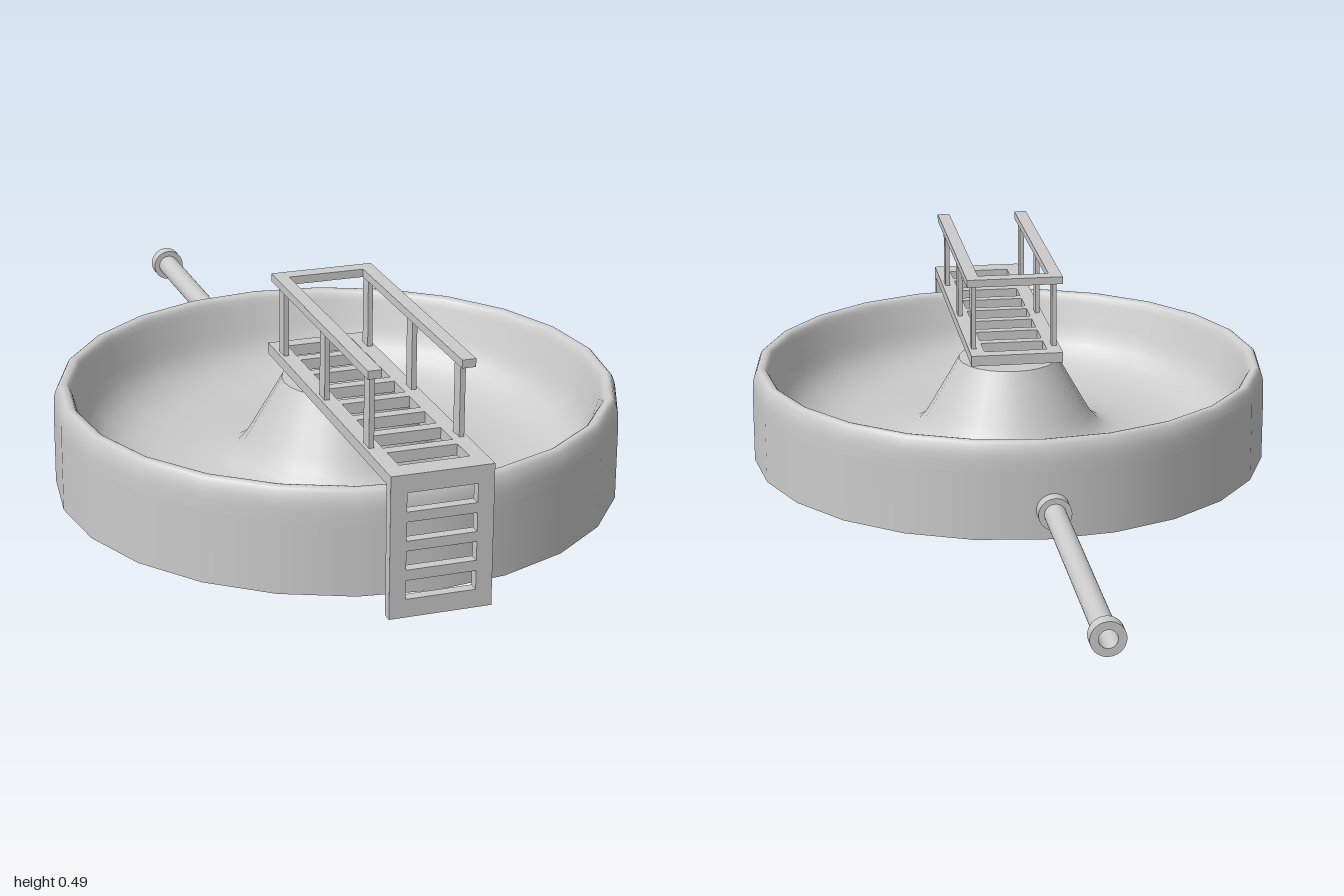
import * as THREE from 'three';

const mat = new THREE.MeshStandardMaterial({ color: 0xcccccc, side: THREE.DoubleSide });
const V = (x, y) => new THREE.Vector2(x, y);

function add(parent, name, geometry, x = 0, y = 0, z = 0) {
  const mesh = new THREE.Mesh(geometry, mat);
  mesh.name = name;
  mesh.position.set(x, y, z);
  parent.add(mesh);
  return mesh;
}

function rect(target, x0, x1, y0, y1) {
  target.moveTo(x0, y0);
  target.lineTo(x1, y0);
  target.lineTo(x1, y1);
  target.lineTo(x0, y1);
  target.closePath();
  return target;
}

// Flat plate with a row of rectangular openings, extruded along +z
function slottedPlate(y0, y1, slots, depth) {
  const shape = rect(new THREE.Shape(), -0.11, 0.11, y0, y1);
  for (const [a, b] of slots) shape.holes.push(rect(new THREE.Path(), -0.075, 0.075, a, b));
  return new THREE.ExtrudeGeometry(shape, { depth, bevelEnabled: false });
}

function buildTank() {
  const tank = new THREE.Group();
  tank.name = 'tank';
  tank.position.z = 0.34;
  const sides = 24;

  // Upright outer wall, open underneath
  add(tank, 'outerWall', new THREE.LatheGeometry([V(0.62, 0.03), V(0.62, 0.19)], sides));

  // Rounded rim running down into the dished floor and up the centre cone
  const profile = new THREE.SplineCurve([
    V(0.62, 0.19), V(0.618, 0.23), V(0.608, 0.257), V(0.595, 0.26), V(0.583, 0.25),
    V(0.568, 0.205), V(0.54, 0.135), V(0.48, 0.088), V(0.39, 0.07), V(0.29, 0.073),
    V(0.22, 0.098), V(0.17, 0.175), V(0.12, 0.264),
  ]);
  add(tank, 'basin', new THREE.LatheGeometry(profile.getPoints(36), sides));

  // Flat top of the centre cone
  const cap = add(tank, 'coneCap', new THREE.CircleGeometry(0.12, sides), 0, 0.264);
  cap.rotation.x = -Math.PI / 2;
  return tank;
}

function buildWalkway() {
  const walkway = new THREE.Group();
  walkway.name = 'walkway';
  walkway.position.x = -0.005;

  // Grating deck, drawn with y as z and laid flat
  const deckSlots = [];
  for (let i = 0; i < 8; i++) deckSlots.push([0.243 + i * 0.0915, 0.309 + i * 0.0915]);
  const deck = add(walkway, 'deck', slottedPlate(0.21, 1.0, deckSlots, 0.025), 0, 0.31);
  deck.rotation.x = Math.PI / 2;

  // Ladder plate down to the ground
  const rungSlots = [[0.04, 0.081], [0.104, 0.145], [0.167, 0.208], [0.23, 0.271]];
  add(walkway, 'ladder', slottedPlate(0, 0.286, rungSlots, 0.023), 0, 0, 0.977);

  // Handrails and posts
  for (const side of [-1, 1]) {
    add(walkway, 'handrail', new THREE.BoxGeometry(0.03, 0.018, 0.625), side * 0.1, 0.477, 0.5625);
    for (const z of [0.285, 0.56, 0.835]) {
      add(walkway, 'railPost', new THREE.BoxGeometry(0.011, 0.162, 0.033), side * 0.097, 0.389, z);
    }
  }
  add(walkway, 'endRail', new THREE.BoxGeometry(0.17, 0.018, 0.035), 0, 0.477, 0.2675);
  return walkway;
}

// Hollow tube with square ends; the lathe axis is turned to lie along z
function tube(outer, inner, length) {
  const shape = new THREE.Shape().absarc(0, 0, outer, 0, Math.PI * 2);
  shape.holes.push(new THREE.Path().absarc(0, 0, inner, 0, Math.PI * 2, true));
  return new THREE.ExtrudeGeometry(shape, { depth: length, bevelEnabled: false, curveSegments: 20 });
}

function buildPipe() {
  const pipe = new THREE.Group();
  pipe.name = 'outletPipe';
  pipe.position.set(-0.017, 0.1, 0);
  add(pipe, 'pipeBody', tube(0.025, 0.02, 0.71), 0, 0, -0.99);
  add(pipe, 'endFlange', tube(0.038, 0.02, 0.03), 0, 0, -1.0);
  add(pipe, 'tankFlange', tube(0.038, 0.02, 0.036), 0, 0, -0.31);
  return pipe;
}

export function createModel() {
  const model = new THREE.Group();
  model.name = 'settlingTank';
  model.add(buildTank(), buildWalkway(), buildPipe());
  return model;
}
